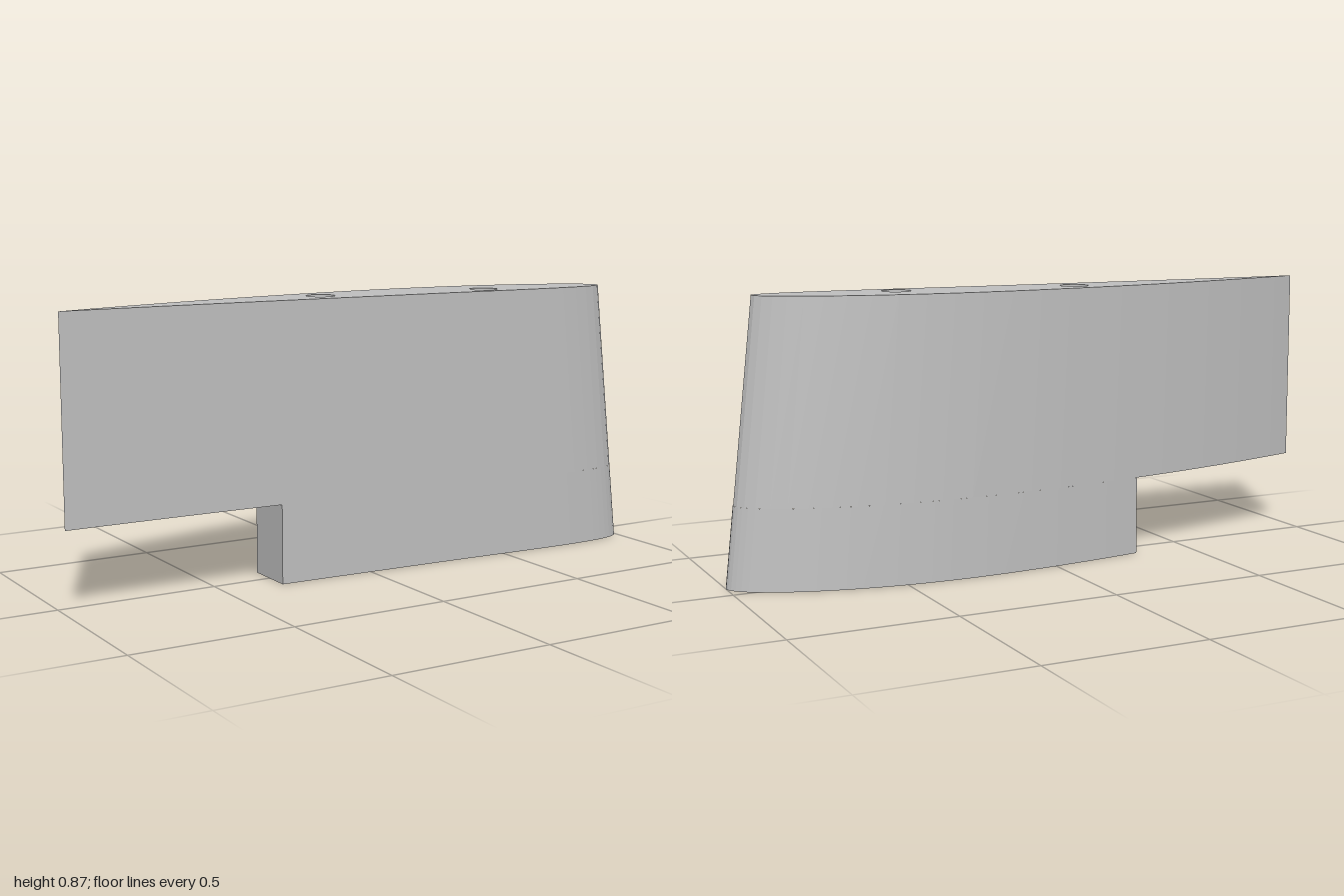
import * as THREE from 'three';

const HEIGHT = 0.866, NOTCH_Y = 0.248, NOTCH_X = -0.31, CHORD_Z = 0.075;
const HOLES = [[-0.12, -0.005], [0.46, 0.043]], HOLE_R = 0.045;
const STEPS = 30;

// Cambered aerofoil, t = 0 at the nose, 1 at the tail; side +1 is the arched face
function foil(t, side) {
  const m = 0.044, p = 0.4, thick = 0.123;
  const camber = t < p ? m / p ** 2 * (2 * p * t - t * t)
    : m / (1 - p) ** 2 * (1 - 2 * p + 2 * p * t - t * t);
  const half = 5 * thick * (0.2969 * Math.sqrt(t) - 0.126 * t - 0.3516 * t ** 2
    + 0.2843 * t ** 3 - 0.1036 * t ** 4);
  return camber + side * half;
}

// Section loop at height y between two x limits: arched face forward, flat face back
function section(y, xAft = -1, xFore = Infinity) {
  const nose = 1 - 0.1 * y / HEIGHT, chord = nose + 1;
  const angle = x => Math.acos(1 - 2 * Math.min(1, Math.max(0, (nose - x) / chord)));
  const b0 = angle(xAft), b1 = angle(xFore);
  const at = (k, side) => {
    const t = (1 - Math.cos(b0 + (b1 - b0) * k / STEPS)) / 2;
    return new THREE.Vector2(nose - t * chord, CHORD_Z - chord * foil(t, side));
  };
  const pts = [];
  for (let k = 0; k <= STEPS; k++) pts.push(at(k, 1));
  for (let k = STEPS - 1; k >= 0; k--) pts.push(at(k, -1));
  return pts;
}

// Faceted wall between two section loops
function skin(y0, y1, xAft) {
  const lo = section(y0, xAft), hi = section(y1, xAft), pos = [];
  for (let i = 0; i < lo.length; i++) {
    const j = (i + 1) % lo.length;
    const a = [lo[i].x, y0, lo[i].y], b = [lo[j].x, y0, lo[j].y];
    const c = [hi[i].x, y1, hi[i].y], d = [hi[j].x, y1, hi[j].y];
    pos.push(...a, ...c, ...b, ...b, ...c, ...d);
  }
  const g = new THREE.BufferGeometry();
  g.setAttribute('position', new THREE.Float32BufferAttribute(pos, 3));
  g.computeVertexNormals();
  return g;
}

// Flat end face, drilled if asked, facing up (dir 1) or down (dir -1)
function cap(pts, y, dir, drilled) {
  const shape = new THREE.Shape(pts.map(p => new THREE.Vector2(p.x, -dir * p.y)));
  if (drilled) for (const [x, z] of HOLES) {
    shape.holes.push(new THREE.Path().absarc(x, -dir * z, HOLE_R, 0, Math.PI * 2, true));
  }
  return new THREE.ShapeGeometry(shape, 16).rotateX(-dir * Math.PI / 2).translate(0, y, 0);
}

export function createModel() {
  const group = new THREE.Group();
  const grey = new THREE.MeshStandardMaterial({ color: 0xc0c0c0 });
  grey.name = 'light grey';
  const add = (name, geometry) => {
    const mesh = new THREE.Mesh(geometry, grey);
    mesh.name = name;
    group.add(mesh);
    return mesh;
  };

  // Full-chord upper part and the shorter part below the notch
  add('upperSkin', skin(NOTCH_Y, HEIGHT, -1));
  add('lowerSkin', skin(0, NOTCH_Y, NOTCH_X));
  add('topFace', cap(section(HEIGHT), HEIGHT, 1, true));
  add('bottomFace', cap(section(0, NOTCH_X), 0, -1, true));
  add('notchCeiling', cap(section(NOTCH_Y, -1, NOTCH_X), NOTCH_Y, -1, false));

  // Spar holes running right through; profile drawn downward so walls face inward
  for (const [x, z] of HOLES) {
    const wall = [new THREE.Vector2(HOLE_R, HEIGHT), new THREE.Vector2(HOLE_R, 0)];
    add('sparHole', new THREE.LatheGeometry(wall, 32)).position.set(x, 0, z);
  }
  return group;
}
